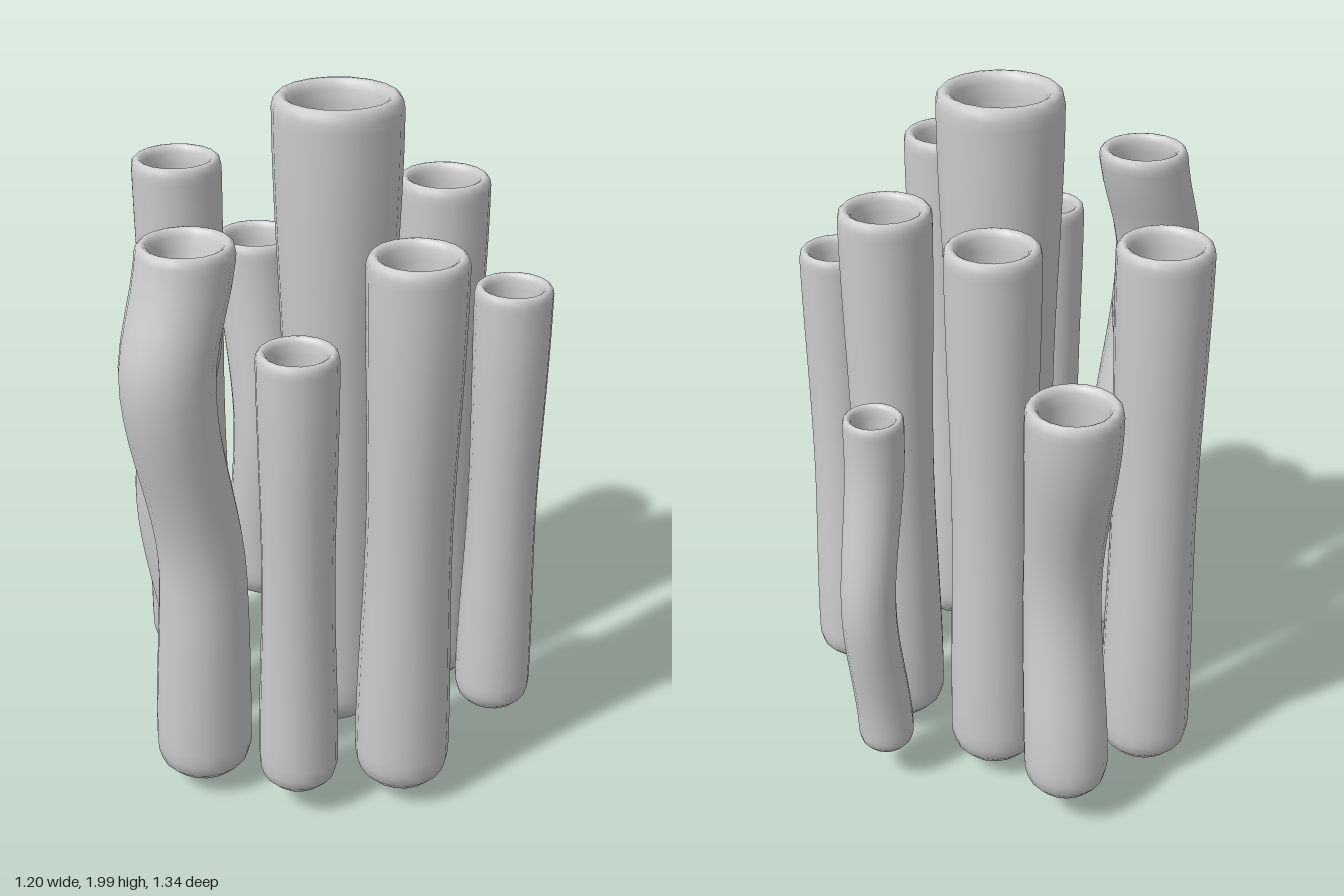
import * as THREE from 'three';
import { mergeVertices } from 'three/addons/utils/BufferGeometryUtils.js';

const material = new THREE.MeshStandardMaterial({ color: 0xcccccc });

// Centre line: eased between keys [y, x, z]
function centreAt(keys, y) {
  if (y <= keys[0][0]) return keys[0].slice(1);
  for (let i = 1; i < keys.length; i++) {
    const [ya, xa, za] = keys[i - 1], [yb, xb, zb] = keys[i];
    if (y <= yb) {
      const t = THREE.MathUtils.smoothstep(y, ya, yb);
      return [xa + (xb - xa) * t, za + (zb - za) * t];
    }
  }
  return keys[keys.length - 1].slice(1);
}

// Hollow-mouthed tube with a rounded foot, a slim waist and a soft lip
function tube(name, r, y0, y1, foot, waist, keys) {
  const p = [];
  const add = (x, y) => p.push(new THREE.Vector2(x * r, y));

  // rounded foot
  for (const [x, y] of [[0, 0], [0.42, 0.04], [0.72, 0.16], [0.92, 0.38], [0.99, 0.65], [1, 0.95]])
    add(x * foot, y0 + y * r);

  // body, narrowing to the waist and widening to the lip
  const a = y0 + 0.95 * r, b = y1 - 0.36 * r, n = 22;
  for (let i = 1; i <= n; i++) {
    const t = i / n;
    const x = t < 0.5
      ? THREE.MathUtils.lerp(foot, waist, THREE.MathUtils.smoothstep(t, 0, 0.5))
      : THREE.MathUtils.lerp(waist, 1, THREE.MathUtils.smoothstep(t, 0.5, 1));
    add(x, a + (b - a) * t);
  }

  // lip and bowl-shaped bore
  for (const [x, y] of [[1, 0.2], [0.97, 0.07], [0.91, 0.01], [0.85, 0], [0.78, 0.04], [0.72, 0.15],
    [0.69, 0.4], [0.67, 1], [0.62, 1.5], [0.5, 1.85], [0.28, 2.05], [0, 2.1]])
    add(x, y1 - y * r);

  let g = new THREE.LatheGeometry(p, 18);
  const pos = g.attributes.position;
  for (let i = 0; i < pos.count; i++) {
    const [cx, cz] = centreAt(keys, pos.getY(i));
    pos.setX(i, pos.getX(i) + cx);
    pos.setZ(i, pos.getZ(i) + cz);
  }
  // weld the seam so the normals are smooth all round
  g.deleteAttribute('uv');
  g.deleteAttribute('normal');
  g = mergeVertices(g, 1e-5);
  g.computeVertexNormals();
  const mesh = new THREE.Mesh(g, material);
  mesh.name = name;
  return mesh;
}

export function createModel() {
  const group = new THREE.Group();
  group.name = 'tubeCluster';
  group.add(
    // tall middle tube
    tube('centreTube', 0.178, 0.01, 2.0, 0.87, 0.86, [[0.1, 0.013, 0.055], [1.9, 0.014, 0.088]]),
    // straight tubes
    tube('backRightTube', 0.131, 0.05, 1.715, 1.02, 0.92, [[0.1, -0.402, -0.302], [1.6, -0.402, -0.302]]),
    tube('backMiddleTube', 0.131, 0.05, 1.715, 1.0, 0.92, [[0.1, 0.048, -0.303], [1.6, 0.048, -0.303]]),
    // leaning tubes
    tube('leftTube', 0.131, 0.05, 1.715, 1.02, 0.9, [[0.1, 0.332, -0.072], [1.65, 0.332, -0.043]]),
    tube('frontTube', 0.132, 0.05, 1.715, 1.03, 0.9, [[0.1, 0.155, 0.467], [1.65, 0.157, 0.535]]),
    tube('frontLeftTube', 0.109, 0.085, 1.482, 1.04, 0.92, [[0.15, 0.484, 0.18], [1.4, 0.484, 0.216]]),
    tube('frontRightTube', 0.109, 0.085, 1.473, 1.04, 0.92, [[0.15, -0.15, 0.497], [1.4, -0.15, 0.545]]),
    // curved tubes
    tube('backCurvedTube', 0.131, 0.1, 1.374, 0.93, 0.84,
      [[0.15, -0.15, -0.537], [0.75, -0.135, -0.473], [1.35, -0.153, -0.545]]),
    tube('rightCurvedTube', 0.097, 0.1, 1.39, 0.98, 0.9,
      [[0.15, -0.4, 0.025], [0.8, -0.485, 0.028], [1.35, -0.4, 0.045]]),
    tube('smallCurvedTube', 0.084, 0.122, 1.243, 0.97, 0.93,
      [[0.16, 0.372, -0.36], [0.66, 0.405, -0.417], [1.16, 0.373, -0.354]]),
    tube('frontRightCurvedTube', 0.131, 0.05, 1.715, 1.06, 0.92,
      [[0.1, -0.412, 0.345], [0.72, -0.4, 0.36], [1.36, -0.478, 0.44], [1.72, -0.415, 0.378]]),
  );
  return group;
}
